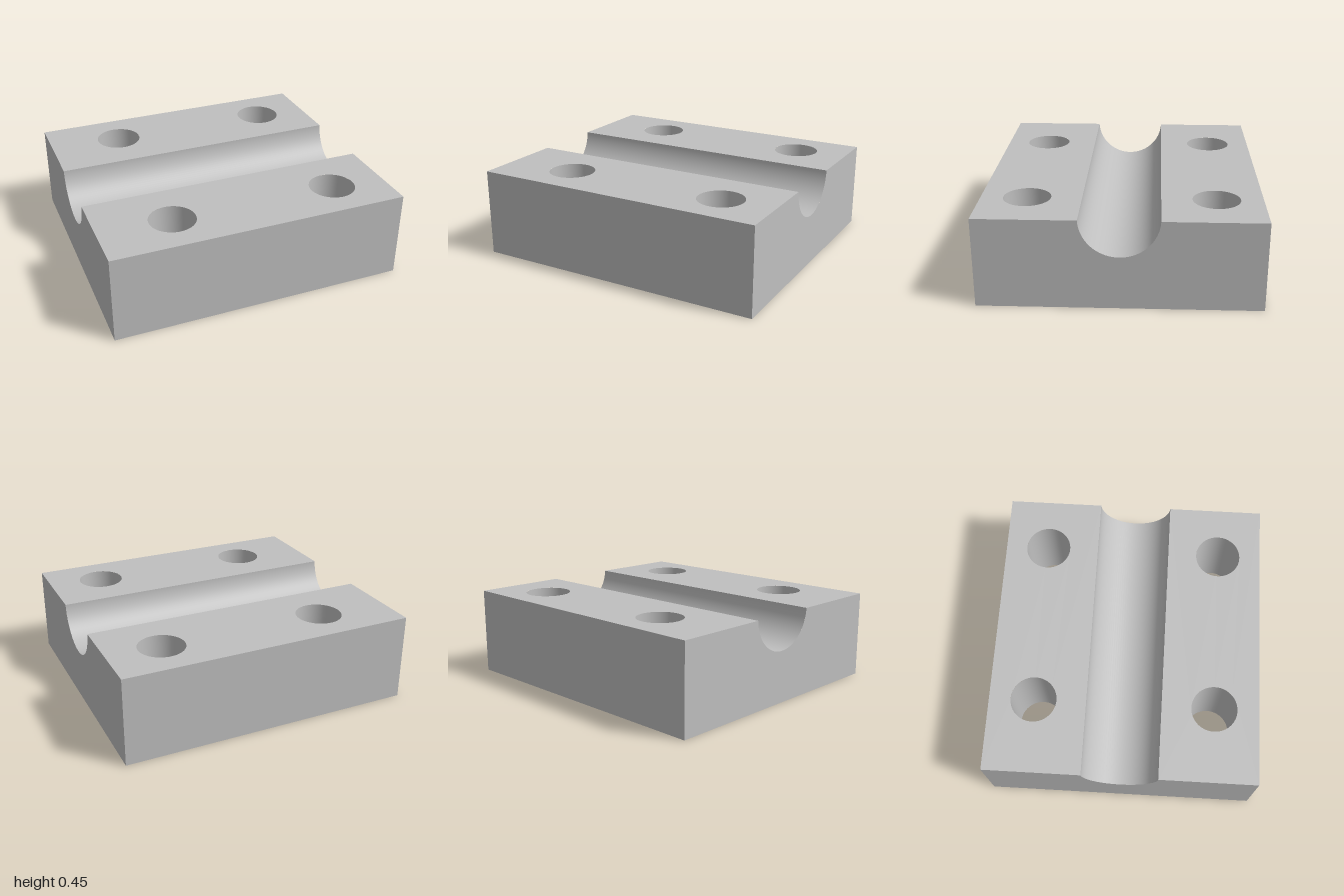
import * as THREE from 'three';

export function createModel() {
  const model = new THREE.Group();
  model.name = 'clampBlock';
  const grey = new THREE.MeshStandardMaterial({ color: 0xbfbfbf });
  grey.name = 'plain grey';

  // Block length (x), width (z), height, and the groove's arc
  const L = 1.513, W = 1.375, H = 0.45;
  const R = 0.192, axisY = 0.459, SEG = 48;
  const tilt = Math.asin((axisY - H) / R);
  const lip = R * Math.cos(tilt);
  const holeR = 0.117, holeX = [-0.381, 0.478], holeZ = 0.46;

  const add = (name, geometry, x = 0, y = 0, z = 0) => {
    const mesh = new THREE.Mesh(geometry, grey);
    mesh.name = name;
    mesh.position.set(x, y, z);
    model.add(mesh);
  };

  // Rectangle spanning the length, pierced by bolt holes in the given rows
  const plate = (z0, z1, rows) => {
    const s = new THREE.Shape([
      new THREE.Vector2(-L / 2, z0), new THREE.Vector2(L / 2, z0),
      new THREE.Vector2(L / 2, z1), new THREE.Vector2(-L / 2, z1),
    ]);
    for (const z of rows) for (const x of holeX) {
      s.holes.push(new THREE.Path().absarc(x, z, holeR, 0, Math.PI * 2, true));
    }
    return new THREE.ShapeGeometry(s, SEG);
  };

  // Underside and the two top faces beside the groove
  add('underside', plate(-W / 2, W / 2, [-holeZ, holeZ]).rotateX(Math.PI / 2));
  add('backTop', plate(lip, W / 2, [holeZ]).rotateX(-Math.PI / 2), 0, H);
  add('frontTop', plate(-W / 2, -lip, [-holeZ]).rotateX(-Math.PI / 2), 0, H);

  // Long side walls
  add('frontWall', new THREE.PlaneGeometry(L, H), 0, H / 2, W / 2);
  add('backWall', new THREE.PlaneGeometry(L, H).rotateY(Math.PI), 0, H / 2, -W / 2);

  // End walls with the groove cut out
  const end = new THREE.Shape();
  end.moveTo(-W / 2, 0);
  end.lineTo(W / 2, 0);
  end.lineTo(W / 2, H);
  end.lineTo(lip, H);
  end.absarc(0, axisY, R, -tilt, Math.PI + tilt, true);
  end.lineTo(-W / 2, H);
  for (const side of [1, -1]) {
    add(side > 0 ? 'leftEnd' : 'rightEnd',
      new THREE.ShapeGeometry(end, SEG).rotateY(side * Math.PI / 2), side * L / 2);
  }

  // Inward-facing round wall, used for the groove and the bolt holes
  const bore = (r, length, start, sweep) => new THREE.LatheGeometry(
    [new THREE.Vector2(r, length / 2), new THREE.Vector2(r, -length / 2)], SEG, start, sweep);

  add('groove', bore(R, L, Math.PI + tilt, Math.PI - 2 * tilt).rotateZ(Math.PI / 2), 0, axisY);
  for (const x of holeX) for (const z of [-holeZ, holeZ]) {
    add('boltHole', bore(holeR, H, 0, Math.PI * 2), x, H / 2, z);
  }

  // The block sits turned on its base
  model.rotation.y = -Math.PI / 6;
  const root = new THREE.Group();
  root.name = 'grooveBlock';
  root.add(model);
  return root;
}
